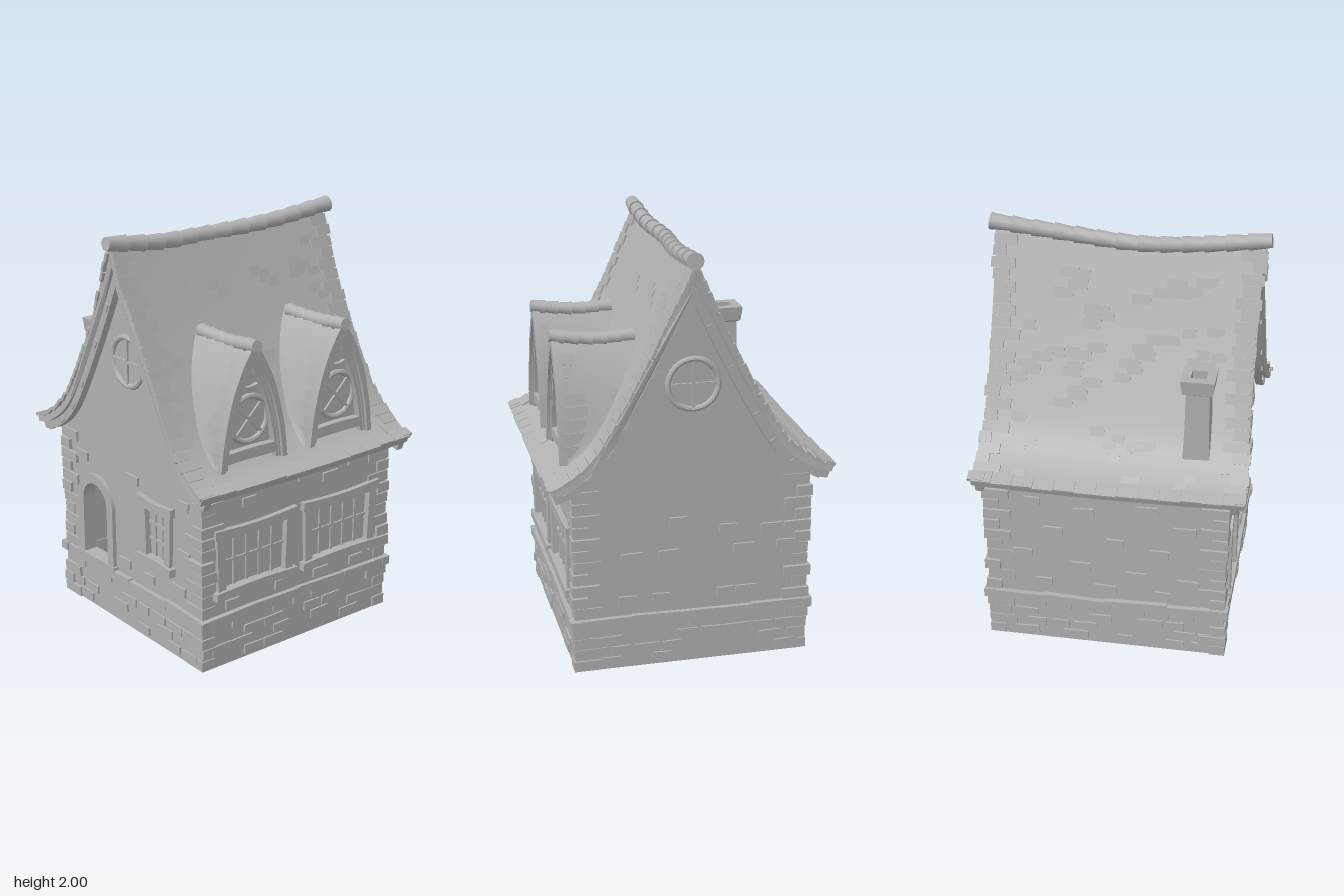
import * as THREE from 'three';
import { mergeGeometries, toCreasedNormals } from 'three/addons/utils/BufferGeometryUtils.js';

const V2 = (x, y) => new THREE.Vector2(x, y), V3 = (x, y, z) => new THREE.Vector3(x, y, z);
const CX = 0.023, HX = 0.57, HZ = 0.557; // wall centre and half sizes

export function createModel() {
  const model = new THREE.Group();
  const stone = new THREE.MeshStandardMaterial({ color: 0xb0b0b0, side: THREE.DoubleSide });
  stone.name = 'greyStone';
  let seed = 7;
  const rnd = (a = 0, b = 1) => {
    seed = (seed * 16807) % 2147483647;
    return a + (b - a) * seed / 2147483647;
  };
  const add = (parent, name, ...geos) => {
    const g = mergeGeometries(geos.flat().map(q => toCreasedNormals(q, 0.6)));
    const m = new THREE.Mesh(g, stone);
    m.name = name;
    parent.add(m);
  };
  const group = (name, x, y, z, ry = 0) => {
    const g = new THREE.Group();
    g.name = name;
    g.position.set(x, y, z);
    g.rotation.y = ry;
    model.add(g);
    return g;
  };
  const box = (w, h, d, x, y, z, rx = 0, rz = 0) =>
    new THREE.BoxGeometry(w, h, d).rotateZ(rz).rotateX(rx).translate(x, y, z);
  const warp = (geo, rule) => {
    const p = geo.attributes.position, v = V3(0, 0, 0);
    for (let i = 0; i < p.count; i++) { rule(v.fromBufferAttribute(p, i)); p.setXYZ(i, v.x, v.y, v.z); }
    return geo;
  };
  // beam along x, bowed upwards in the middle
  const beam = (w, h, d, x, y, z, bow) =>
    warp(new THREE.BoxGeometry(w, h, d, 8), v => { v.y += bow * Math.cos(v.x / w * Math.PI); }).translate(x, y, z);
  const extrude = (shape, depth, steps = 1) =>
    new THREE.ExtrudeGeometry(shape, { depth, steps, bevelEnabled: false, curveSegments: 16 });
  const rect = (x0, y0, x1, y1, C = THREE.Shape) => new C([V2(x0, y0), V2(x1, y0), V2(x1, y1), V2(x0, y1)]);
  const circle = (x, y, r) => new THREE.Path().absarc(x, y, r, 0, Math.PI * 2);
  // turns a (z, y) profile extruded in depth into a slab centred on x
  const alongX = (geo, depth, x) => geo.translate(0, 0, -depth / 2).rotateY(-Math.PI / 2).translate(x, 0, 0);

  // ---- roof profile, eave to ridge, as (z, y)
  const slope = new THREE.SplineCurve([[0.67, 0.938], [0.58, 0.975], [0.456, 1.08], [0.35, 1.24],
    [0.19, 1.54], [0.08, 1.77], [0, 1.945]].map(p => V2(...p)));
  const half = off => {
    const pts = [];
    for (let i = 0; i <= 24; i++) {
      const p = slope.getPoint(i / 24), t = slope.getTangent(i / 24);
      p.add(V2(-t.y, t.x).multiplyScalar(off)); // inward
      if (p.x > 0.006) pts.push(p);
    }
    pts.push(V2(0, 1.945 - off * 2.35));
    return pts;
  };
  // both slopes, whichever way the inset runs it goes below the tiles
  const inward = half(0.04)[4].y < half(0)[4].y ? 1 : -1;
  const across = off => {
    const h = half(off * inward);
    return [...h, ...h.slice(0, -1).reverse().map(p => V2(-p.x, p.y))];
  };
  const band = (a, b) => new THREE.Shape([...across(a), ...across(b).reverse()]);
  // the roof sinks mid-length, and its back eave kicks up
  const sag = (x, y, z) => 0.045 * (1 - (x / 0.65) ** 2) * (0.3 + 0.7 * (y - 0.93)) - 0.09 * Math.max(0, -0.45 - z);
  const waist = y => 1 - 0.045 * Math.sin(Math.PI * Math.min(1, Math.max(0, (y - 0.93) / 1.02)));
  const settle = v => { v.y -= sag(v.x, v.y, v.z); };

  add(model, 'roof', warp(alongX(extrude(band(0, 0.042), 1.27, 14), 1.27, 0), v => {
    settle(v);
    v.x *= waist(v.y);
  }));

  // a tile lying on the slope, its lower edge lifted
  const tile = (x, u, s, w, l, h, tilt = 0.08) => {
    const p = slope.getPointAt(u), t = slope.getTangentAt(u);
    const a = Math.atan2(-t.y, t.x) + Math.PI + tilt;
    return box(w, h, l, x, p.y - sag(x, p.y, s * p.x), s * p.x, s * a);
  };
  const verge = [], field = [], eave = [];
  for (const s of [1, -1]) {
    for (const e of [1, -1]) for (let i = 0; i < 22; i++) {
      const u = (i + 0.5) / 22.5, w = (i % 2 ? 0.1 : 0.06) + rnd(0, 0.03);
      verge.push(tile(e * ((0.638 + rnd(0, 0.018)) * waist(slope.getPointAt(u).y) - w / 2), u, s, w, 0.05, 0.016));
    }
    for (let i = 0; i < 46; i++) {
      const x = rnd(-0.5, 0.5), u = rnd(0.06, 0.9), z = slope.getPointAt(u).x;
      if (s > 0 && z > 0.17 && Math.abs(Math.abs(x) - 0.26) < 0.22) continue;
      if (s < 0 && Math.abs(x + 0.39) < 0.12 && Math.abs(z - 0.42) < 0.13) continue;
      const w = rnd(0.06, 0.1);
      field.push(tile(x, u, s, w, 0.045, 0.006));
      if (i % 2) field.push(tile(x + w * 0.7, u - 0.035, s, w, 0.045, 0.006));
    }
    for (let i = 0; i < 13; i++) eave.push(tile(-0.59 + i * 0.098, 0.022, s, 0.097, 0.06 + rnd(0, 0.012), 0.01, 0.03));
  }
  add(model, 'vergeTiles', verge);
  add(model, 'roofTiles', field);
  add(model, 'eaveTiles', eave);

  // barge boards under both roof ends, with small pegs
  for (const e of [1, -1]) {
    add(model, 'bargeBoard', warp(alongX(extrude(band(0.038, 0.08), 0.035), 0.035, e * 0.595 + 0.005), settle));
    const pegs = [], line = half(0.06 * inward);
    for (let i = 3; i < line.length - 2; i += 3) for (const s of [1, -1]) {
      const d = line[i + 1].clone().sub(line[i]);
      pegs.push(box(0.03, 0.024, 0.045, e * 0.603 + 0.005, line[i].y, s * line[i].x, s * Math.atan2(-d.y, d.x)));
    }
    add(model, 'bargePegs', pegs);
  }

  // overlapping half-round caps along a line
  const caps = (name, pts, n, r) => {
    const c = new THREE.CatmullRomCurve3(pts), geos = [];
    for (let i = 0; i < n; i++) {
      const a = c.getPointAt(i / n), b = c.getPointAt((i + 1) / n), d = b.clone().sub(a);
      const q = new THREE.Quaternion().setFromUnitVectors(V3(0, 1, 0), d.clone().normalize());
      const m = a.add(b).multiplyScalar(0.5);
      geos.push(new THREE.CylinderGeometry(r * 0.85, r * 1.06, d.length() * 1.08, 12)
        .applyQuaternion(q).translate(m.x, m.y, m.z));
    }
    add(model, name, geos);
  };
  caps('ridgeCaps', [V3(0.655, 1.957, 0.012), V3(0.3, 1.925, 0.008), V3(-0.06, 1.91, -0.022),
    V3(-0.35, 1.92, 0), V3(-0.655, 1.957, 0.005)], 13, 0.038);

  // ---- walls
  const plinth = rect(CX - HX, -HZ, CX + HX, HZ);
  plinth.holes.push(rect(CX - HX + 0.055, -HZ + 0.055, CX + HX - 0.055, HZ - 0.055, THREE.Path));
  add(model, 'plinth', extrude(plinth, 0.25).rotateX(-Math.PI / 2));
  const winX = [-0.245, 0.285];
  for (const s of [1, -1]) {
    const wall = rect(CX - HX, 0.24, CX + HX, 0.935);
    if (s > 0) for (const x of winX) wall.holes.push(rect(x - 0.2, 0.4, x + 0.2, 0.65, THREE.Path));
    add(model, s > 0 ? 'frontWall' : 'backWall', extrude(wall, 0.05).translate(0, 0, s > 0 ? HZ - 0.05 : -HZ));
  }
  const archPath = (C, r, y0, yc) => {
    const p = new C().moveTo(-r - 0.28, y0).lineTo(r - 0.28, y0).lineTo(r - 0.28, yc);
    return p.absarc(-0.28, yc, r, 0, Math.PI).lineTo(-r - 0.28, y0);
  };
  for (const e of [1, -1]) {
    const top = across(0.04).filter(p => Math.abs(p.x) < HZ - 0.01);
    const gable = new THREE.Shape([V2(-HZ, 0.24), V2(HZ, 0.24), V2(HZ, 0.94), ...top, V2(-HZ, 0.94)]);
    gable.holes.push(circle(0, 1.38, 0.115));
    if (e < 0) gable.holes.push(archPath(THREE.Path, 0.1, 0.27, 0.58), rect(0.12, 0.46, 0.31, 0.71, THREE.Path));
    add(model, e > 0 ? 'leftGable' : 'rightGable', alongX(extrude(gable, 0.05), 0.05, CX + e * (HX - 0.025)));
  }

  // bricks set on a wall: side 0 front, 1 left (+x), 2 back, 3 right (-x)
  const brick = (side, u, y, w, h, out) =>
    box(w, h, out * 2, u, y, side % 2 ? HX : HZ, 0, rnd(-0.04, 0.04)).rotateY(side * Math.PI / 2).translate(CX, 0, 0);
  const quoins = [], low = [], loose = [], course = [];
  for (let side = 0; side < 4; side++) {
    const reach = side % 2 ? HZ : HX;
    for (let r = 0; r < 4; r++) for (let i = 0; i < 9; i++) {
      if (rnd() < 0.5) continue;
      const w = rnd(0.08, 0.125);
      low.push(brick(side, (i - 4 + (r % 2) * 0.4 - 0.2) * 0.122, 0.04 + r * 0.054, w, 0.042, 0.009));
    }
    for (let i = 0; i < 4; i++)
      course.push(brick(side, (i - 1.5) * reach * 0.52, 0.25 + rnd(-0.004, 0.004), reach * 0.52 + 0.01, 0.042, rnd(0.02, 0.028)));
  }
  // corner stones, each wrapping both faces of its corner
  for (const sx of [1, -1]) for (const sz of [1, -1]) for (let i = 0; i < 15; i++) {
    const y = i < 4 ? 0.03 + i * 0.056 : 0.3 + (i - 4) * 0.058, o = rnd(0.004, 0.02), thick = 0.04;
    const w = i % 2 ? 0.13 : 0.075, d = i % 2 ? 0.075 : 0.13, x = HX + o, z = HZ + o * 0.9;
    quoins.push(box(w, 0.05, thick, CX + sx * (x - w / 2), y, sz * (z - thick / 2)),
      box(thick, 0.05, d - thick, CX + sx * (x - thick / 2), y, sz * (z - (d + thick) / 2)));
  }
  const scatter = {
    0: [[-0.3, 0.8], [-0.18, 0.86], [0.05, 0.84], [0.2, 0.8], [0.36, 0.84], [-0.4, 0.31], [-0.1, 0.32], [0.15, 0.31], [0.38, 0.31]],
    1: [[-0.07, 0.72], [0.17, 0.665], [0.38, 0.65], [-0.29, 0.56], [-0.115, 0.56], [0.25, 0.56], [0.46, 0.56],
      [-0.31, 0.345], [-0.15, 0.345], [0.16, 0.345], [0.26, 0.345]],
    2: [[-0.35, 0.8], [-0.1, 0.76], [0.2, 0.8], [0.38, 0.7], [-0.25, 0.64], [0.05, 0.6], [0.26, 0.56], [-0.4, 0.5],
      [-0.12, 0.45], [0.15, 0.42], [0.4, 0.4], [-0.3, 0.34], [0, 0.33], [0.28, 0.32]],
    3: [[0.42, 0.8], [0.02, 0.8], [-0.05, 0.34], [0.15, 0.33], [0.38, 0.36], [0.42, 0.55], [-0.4, 0.8]],
  };
  for (const side in scatter) for (const [u, y] of scatter[side])
    loose.push(brick(+side, u, y, rnd(0.08, 0.11), 0.044, 0.011));
  add(model, 'plinthBricks', low);
  add(model, 'wallBricks', loose);
  add(model, 'stoneCourse', course);
  add(model, 'quoins', quoins);
  add(model, 'rafterEnds', [-0.38, -0.15, 0.07, 0.22, 0.43].flatMap(x =>
    [1, -1].map(s => box(0.045, 0.045, 0.09, x, 0.905, s * 0.575))));

  // ---- windows and door
  const casement = (name, x, y, z, ry, w, h, cols, rows) => {
    const g = group(name, x, y, z, ry), bars = [];
    add(g, 'frame', beam(w, 0.045, 0.06, 0, h / 2 - 0.02, -0.003, -0.012), beam(w, 0.04, 0.07, 0, -h / 2 + 0.02, 0, 0.008),
      box(0.045, h - 0.05, 0.05, -w / 2 + 0.04, 0, -0.005, 0, 0.03), box(0.045, h - 0.05, 0.05, w / 2 - 0.04, 0, -0.005, 0, -0.03));
    for (let i = 1; i < cols; i++) bars.push(box(0.013, h - 0.08, 0.025, (i / cols - 0.5) * (w - 0.11), 0, -0.015));
    for (let i = 1; i < rows; i++) bars.push(box(w - 0.1, 0.013, 0.025, 0, (i / rows - 0.5) * (h - 0.09), -0.015));
    add(g, 'glazingBars', bars);
    add(g, 'pane', box(w - 0.08, h - 0.06, 0.008, 0, 0, -0.015));
  };
  winX.forEach(x => casement('frontWindow', x, 0.53, HZ, 0, 0.49, 0.35, 5, 2));
  casement('sideWindow', CX - HX, 0.585, 0.215, -Math.PI / 2, 0.27, 0.34, 3, 3);
  const roundWindow = (name, x, y, z, ry, r, spin) => {
    const g = group(name, x, y, z, ry);
    add(g, 'ring', new THREE.TorusGeometry(r, 0.014, 8, 32));
    add(g, 'pane', new THREE.CylinderGeometry(r, r, 0.008, 32).rotateX(Math.PI / 2).translate(0, 0, -0.004));
    add(g, 'glazingBars', box(r * 2, 0.014, 0.02, 0, 0, 0, 0, spin), box(0.014, r * 2, 0.02, 0, 0, 0, 0, spin));
  };
  for (const e of [1, -1]) roundWindow('gableWindow', CX + e * HX, 1.38, 0, e * Math.PI / 2, 0.118, 0);
  const arch = archPath(THREE.Shape, 0.148, 0.27, 0.58);
  arch.holes.push(archPath(THREE.Path, 0.1, 0.2701, 0.58));
  add(model, 'doorFrame', alongX(extrude(arch, 0.07), 0.07, CX - HX + 0.015));
  add(model, 'doorStep', box(0.08, 0.03, 0.32, CX - HX + 0.012, 0.272, -0.28));

  // ---- dormers, their backs cut to follow the main roof
  const zAt = y => {
    const p = slope.getPoints(60), i = p.findIndex(q => q.y >= y);
    return i < 0 ? 0 : p[i].x;
  };
  const side = new THREE.SplineCurve([[0.188, 0.985], [0.168, 1.14], [0.122, 1.32], [0.062, 1.455], [0, 1.55]].map(p => V2(...p)));
  const pointed = inset => {
    const r = side.getPoints(12).map(p => V2(Math.max(0, p.x - inset), p.y - inset * 1.2 * Math.max(0, (p.y - 1) / 0.55)));
    return [...r, ...r.slice(0, -1).reverse().map(p => V2(-p.x, p.y))];
  };
  for (const x of [-0.27, 0.26]) {
    const hood = (a, b, z0, z1, steps) =>
      extrude(new THREE.Shape([...pointed(a), ...pointed(b).reverse()]), z1 - z0, steps).translate(x, 0, z0);
    // the sides run from the front to the main roof, flaring as they meet it
    add(model, 'dormerRoof', warp(hood(0, 0.03, 0, 0.575, 4), v => {
      const back = 1 - v.z / 0.575, end = Math.min(0.54, zAt(v.y) - 0.03);
      v.z = 0.575 + (end - 0.575) * back;
      v.x += (v.x - x) * 0.12 * back * back;
    }));
    add(model, 'dormerTrim', hood(-0.006, 0.02, 0.555, 0.59), hood(0.028, 0.046, 0.53, 0.57));
    add(model, 'dormerFace', extrude(new THREE.Shape(pointed(0.02)), 0.02).translate(x, 0, 0.515));
    add(model, 'dormerSill', beam(0.28, 0.05, 0.04, x, 1.035, 0.55, 0.004), beam(0.11, 0.02, 0.03, x, 1.355, 0.54, -0.015));
    roundWindow('dormerWindow', x, 1.195, 0.54, 0, 0.108, Math.PI / 4);
    const strips = [];
    for (const s of [1, -1]) for (let i = 1; i < 9; i++) {
      const p = side.getPointAt(i / 10), t = side.getTangentAt(i / 10), l = rnd(0.05, 0.14);
      strips.push(box(0.01, 0.05, l, x + s * p.x, p.y, 0.585 - l / 2, 0, s * (Math.atan2(t.y, t.x) - Math.PI / 2 - 0.05)));
    }
    add(model, 'dormerTiles', strips);
    caps('dormerCaps', [V3(x, 1.53, 0.205), V3(x + 0.008, 1.525, 0.38), V3(x, 1.55, 0.595)], 6, 0.033);
  }

  // ---- chimney: square flue with a hollow cap
  const flue = [[0.064, 1.02], [0.057, 1.2], [0.054, 1.385], [0.07, 1.395], [0.078, 1.465], [0.036, 1.465], [0.03, 1.3], [0, 1.3]];
  const stack = new THREE.LatheGeometry(flue.map(([r, y]) => V2(r * Math.SQRT2, y)), 4).rotateY(Math.PI / 4);
  add(model, 'chimney', stack.translate(-0.39, 0, -0.412));
  return model;
}
